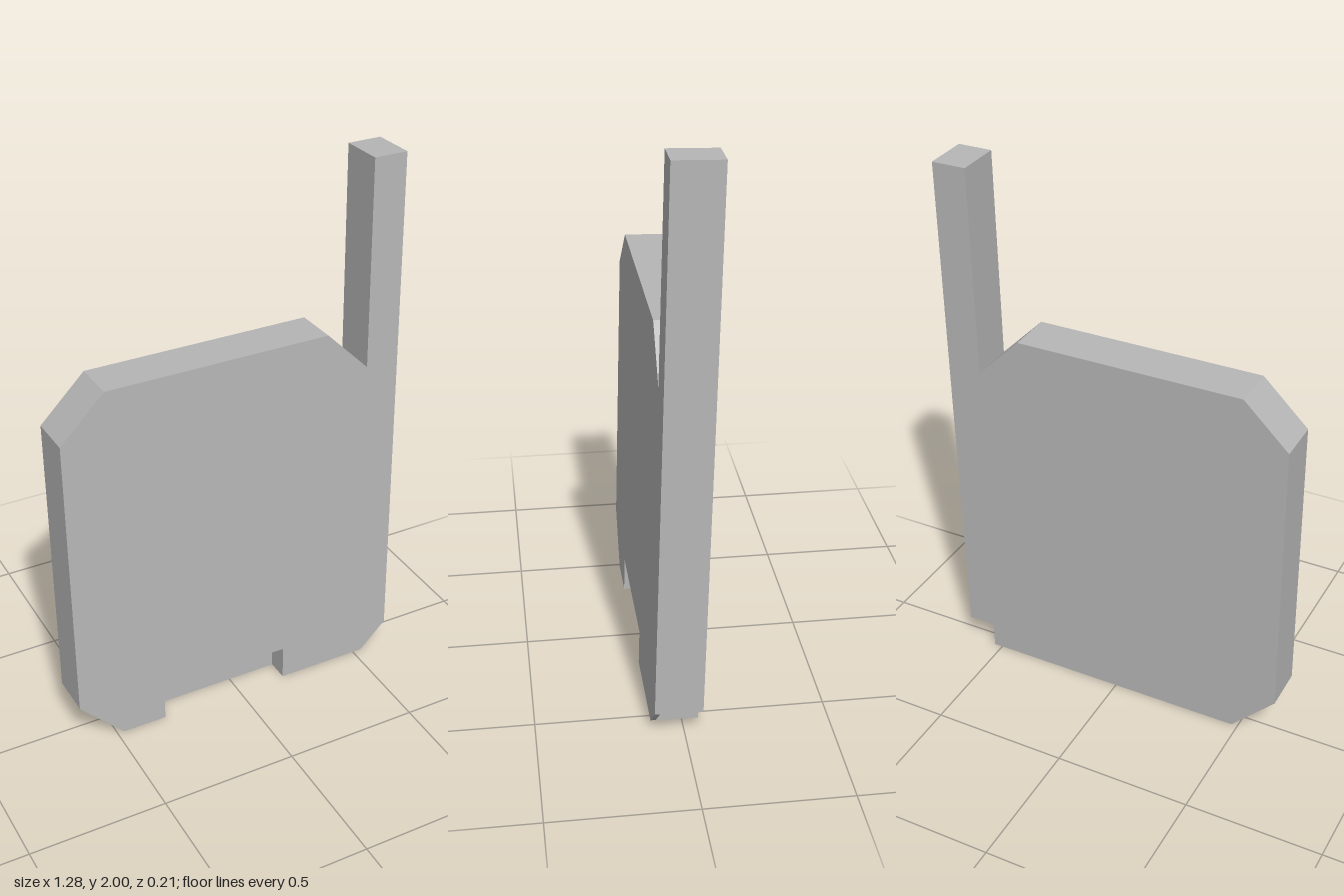
import * as THREE from 'three';

const BACK = -0.082, FRONT = 0.082; // slab thickness
const SLOT = 0.0;                   // back wall of the front slot
const LIP = 0.064;                  // rear of the thin lip at the cut corner

const V = (list) => list.map(([x, y]) => new THREE.Vector2(x, y));

// Outline pieces, all running counter-clockwise seen from the front
const upper = V([[0.636, 0.1], [0.636, 2], [0.512, 2], [0.512, 1.24], [0.352, 1.4],
  [-0.477, 1.4], [-0.64, 1.24], [-0.64, 0.17], [-0.477, 0], [-0.31, 0]]);
const slot = V([[-0.31, 0], [-0.31, 0.13], [0.185, 0.13], [0.185, 0]]);
const sill = V([[-0.31, 0], [0.185, 0]]);
const foot = V([[0.185, 0], [0.533, 0]]);
const notch = V([[0.533, 0], [0.533, 0.1], [0.636, 0.1]]);
const chamfer = V([[0.533, 0], [0.636, 0.1]]);

// Side walls swept along z under an open path
function wall(path, z0, z1) {
  const out = [];
  for (let i = 0; i < path.length - 1; i++) {
    const a = path[i], b = path[i + 1];
    out.push(a.x, a.y, z0, b.x, b.y, z0, b.x, b.y, z1);
    out.push(a.x, a.y, z0, b.x, b.y, z1, a.x, a.y, z1);
  }
  return out;
}

// Flat face at one depth, looking forwards or backwards
function cap(points, z, facing) {
  const pts = points.slice();
  if (THREE.ShapeUtils.isClockWise(pts)) pts.reverse();
  const out = [];
  for (const t of THREE.ShapeUtils.triangulateShape(pts, [])) {
    const tri = facing > 0 ? t : [t[0], t[2], t[1]];
    for (const i of tri) out.push(pts[i].x, pts[i].y, z);
  }
  return out;
}

export function createModel() {
  const grey = new THREE.MeshStandardMaterial({ color: 0xb6b6b6 });
  grey.name = 'grey';
  const model = new THREE.Group();
  const slab = new THREE.Group();
  slab.name = 'slabWithPost';

  const add = (name, ...lists) => {
    const geo = new THREE.BufferGeometry();
    geo.setAttribute('position', new THREE.Float32BufferAttribute(lists.flat(), 3));
    geo.computeVertexNormals();
    const mesh = new THREE.Mesh(geo, grey);
    mesh.name = name;
    slab.add(mesh);
  };

  // Slab and post share one continuous outline
  add('frontFace', cap([...upper, ...slot.slice(1), chamfer[0]], FRONT, 1));
  add('backFace', cap([...upper, notch[0], notch[1]], BACK, -1));
  add('rim', wall(upper, BACK, FRONT), wall(foot, BACK, FRONT), wall(sill, BACK, SLOT));

  // Recess at the bottom of the front
  add('frontSlot', wall(slot, SLOT, FRONT), cap(slot, SLOT, 1));

  // Square cut below the post, closed in front by a thin chamfered lip
  add('cornerCut', wall(notch, BACK, LIP));
  add('cornerLip', wall(chamfer, LIP, FRONT), cap(notch, LIP, -1));

  // Slight backward lean about mid height
  slab.position.y = -1;
  const lean = new THREE.Group();
  lean.name = 'leaningBody';
  lean.add(slab);
  lean.rotation.x = -0.025;
  lean.position.y = 1.002;
  model.add(lean);
  return model;
}
